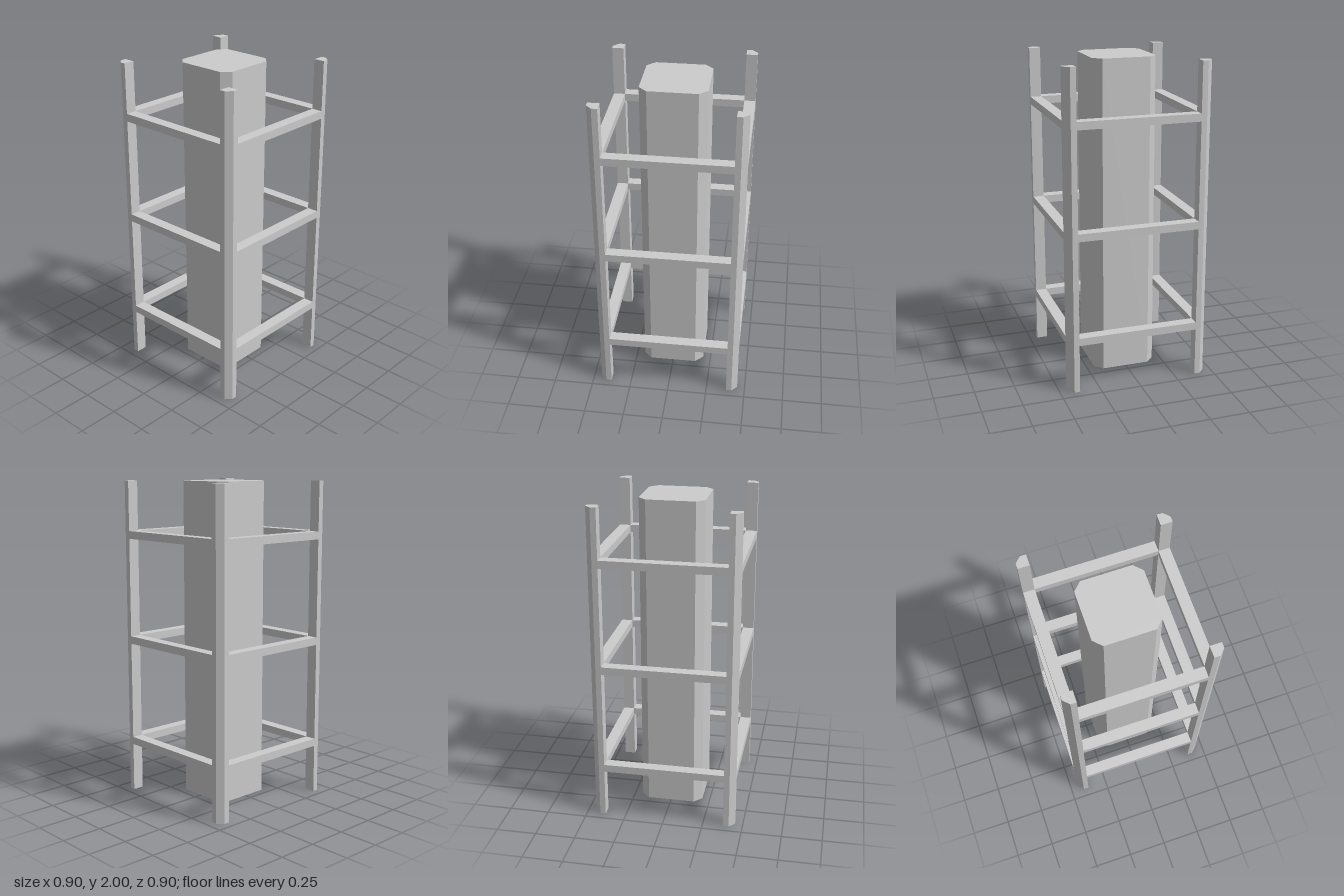
import * as THREE from 'three';

const HEIGHT = 2;
const OUTER = 0.45, INNER = 0.38, POST_CUT = 0.035;
const CORE = 0.2, CORE_CUT = 0.05;
const BAR_HEIGHT = 0.048;

const material = new THREE.MeshStandardMaterial({
  color: 0xcccccc, flatShading: true, side: THREE.DoubleSide,
});

// Upright shell from a plan outline: walls and top cap, open underneath
function openPrism(outline) {
  const shape = new THREE.Shape(outline.map(([x, y]) => new THREE.Vector2(x, y)));
  const solid = new THREE.ExtrudeGeometry(shape, { depth: HEIGHT, bevelEnabled: false });
  solid.rotateX(-Math.PI / 2);
  const p = solid.attributes.position;
  const kept = [];
  for (let i = 0; i < p.count; i += 3) {
    const corners = [i, i + 1, i + 2];
    if (corners.every((k) => p.getY(k) < 1e-4)) continue;
    for (const k of corners) kept.push(p.getX(k), p.getY(k), p.getZ(k));
  }
  const geometry = new THREE.BufferGeometry();
  geometry.setAttribute('position', new THREE.Float32BufferAttribute(kept, 3));
  geometry.computeVertexNormals();
  return geometry;
}

function addMesh(parent, geometry, name) {
  const mesh = new THREE.Mesh(geometry, material);
  mesh.name = name;
  parent.add(mesh);
  return mesh;
}

export function createModel() {
  const model = new THREE.Group();
  model.name = 'cagedColumn';

  // Central column with four chamfered corners
  const c = CORE, d = CORE - CORE_CUT;
  addMesh(model, openPrism([
    [c, -d], [c, d], [d, c], [-d, c], [-c, d], [-c, -d], [-d, -c], [d, -c],
  ]), 'column');

  // Corner post, chamfered on its outer edge only
  const cut = OUTER - POST_CUT;
  const postGeometry = openPrism([
    [INNER, INNER], [OUTER, INNER], [OUTER, cut], [cut, OUTER], [INNER, OUTER],
  ]);

  // Horizontal bar between two posts
  const barGeometry = new THREE.BoxGeometry(INNER * 2, BAR_HEIGHT, OUTER - INNER);
  barGeometry.translate(0, 0, (OUTER + INNER) / 2);

  // Four sides of the frame, each with one post and three bars
  for (let i = 0; i < 4; i++) {
    const side = new THREE.Group();
    side.name = `frameSide${i + 1}`;
    side.rotation.y = (i * Math.PI) / 2;
    addMesh(side, postGeometry, 'cornerPost');
    for (const y of [1 / 3, 1, 5 / 3]) {
      addMesh(side, barGeometry, 'crossBar').position.y = y;
    }
    model.add(side);
  }
  return model;
}
